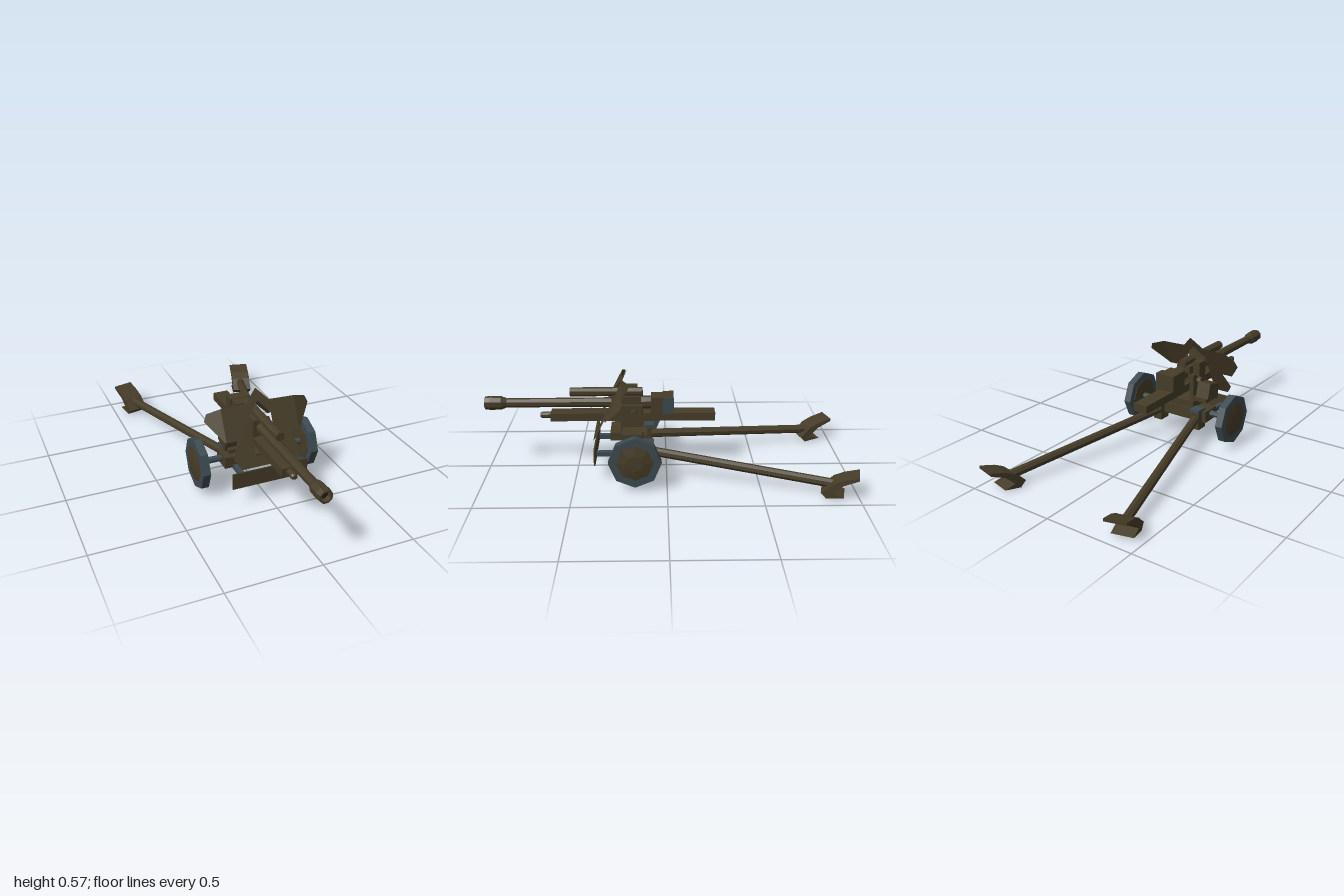
import * as THREE from 'three';

export function createModel() {
  const model = new THREE.Group();
  model.name = 'fieldGun';
  const mat = (name, color) => {
    const m = new THREE.MeshStandardMaterial({ color, flatShading: true, side: THREE.DoubleSide });
    m.name = name;
    return m;
  };
  const olive = mat('oliveBrown', 0x463c28);
  const steel = mat('blueSteel', 0x3c4a50);
  const dark = mat('boreDark', 0x1c1810);

  const add = (name, geo, m = olive, parent = model) => {
    const mesh = new THREE.Mesh(geo, m);
    mesh.name = name;
    parent.add(mesh);
    return mesh;
  };
  // Box given by its limits on each axis
  const box = (name, x0, x1, y0, y1, z0, z1, m, parent) => add(name,
    new THREE.BoxGeometry(x1 - x0, y1 - y0, z1 - z0)
      .translate((x0 + x1) / 2, (y0 + y1) / 2, (z0 + z1) / 2), m, parent);
  // Octagonal turned part along z from [radius, z] pairs, back to front
  const turned = (name, x, y, pts, m) => add(name,
    new THREE.LatheGeometry(pts.map(p => new THREE.Vector2(...p)), 8)
      .rotateY(Math.PI / 8).rotateX(Math.PI / 2).translate(x, y, 0), m);
  // Octagonal rod between two points
  const rod = (name, a, b, r, m, parent) => {
    const A = new THREE.Vector3(...a), B = new THREE.Vector3(...b);
    const mesh = add(name, new THREE.CylinderGeometry(r, r, A.distanceTo(B), 8), m, parent);
    mesh.position.copy(A).add(B).multiplyScalar(0.5);
    mesh.quaternion.setFromUnitVectors(new THREE.Vector3(0, 1, 0), B.sub(A).normalize());
    return mesh;
  };

  // Barrel, recoil gear and breech
  const cx = -0.008;
  turned('barrel', cx, 0.385, [[0, 0.03], [0.036, 0.03], [0.036, 0.2], [0.028, 0.22],
    [0.025, 0.88], [0.037, 0.91], [0.039, 0.97], [0.035, 1], [0.025, 1], [0.025, 0.97]]);
  add('bore', new THREE.CircleGeometry(0.025, 8).rotateZ(Math.PI / 8).translate(cx, 0.385, 0.972), dark);
  turned('recuperator', cx, 0.447, [[0, 0.13], [0.025, 0.13], [0.025, 0.53], [0, 0.53]]);
  box('cradle', -0.05, 0.035, 0.29, 0.334, -0.27, 0.64);
  turned('recoilCylinder', cx, 0.312, [[0, 0.6], [0.019, 0.6], [0.019, 0.685], [0.012, 0.7], [0, 0.7]]);
  box('breechRing', -0.055, 0.04, 0.334, 0.427, 0.0, 0.085);
  box('breechBlock', -0.064, 0.046, 0.338, 0.43, -0.04, 0.02);
  box('breechPlate', 0.046, 0.053, 0.338, 0.43, -0.04, 0.018, steel);
  box('barrelCollar', -0.05, 0.034, 0.334, 0.43, 0.14, 0.3);

  // Upper carriage: saddle, cheeks, aiming gear
  box('saddle', -0.09, 0.075, 0.19, 0.235, 0.12, 0.31);
  for (const [x0, x1] of [[-0.085, -0.058], [0.042, 0.069]])
    box('cheek', x0, x1, 0.22, 0.39, 0.13, 0.25);
  box('sightBox', -0.105, -0.06, 0.38, 0.46, 0.16, 0.22);
  rod('trunnion', [-0.11, 0.35, 0.18], [0.095, 0.35, 0.18], 0.02);
  const gearBox = box('aimingBox', -0.04, 0.04, -0.045, 0.045, -0.05, 0.05);
  gearBox.position.set(-0.142, 0.298, 0.19);
  gearBox.rotation.x = 0.25;
  box('sideStep', 0.06, 0.176, 0.24, 0.266, 0.13, 0.24);
  box('leftStep', -0.17, -0.06, 0.24, 0.262, 0.13, 0.26);

  // Lower carriage and front apron
  box('lowerCarriage', -0.18, 0.18, 0.13, 0.195, 0.11, 0.225);
  box('apron', -0.205, 0.225, 0.105, 0.195, 0.386, 0.394);
  for (const x of [-0.12, 0.12])
    box('apronBracket', x - 0.014, x + 0.014, 0.12, 0.145, 0.2, 0.388, steel);
  rod('axle', [-0.3, 0.17, 0.17], [0.3, 0.17, 0.17], 0.018, steel);

  // Shield: sloped sheet with an opening and swept-back wings
  const sheet = (name, pts, hole) => {
    const shape = new THREE.Shape(pts.map(p => new THREE.Vector2(...p)));
    if (hole) shape.holes.push(new THREE.Path(hole.map(p => new THREE.Vector2(...p))));
    const geo = new THREE.ShapeGeometry(shape);
    const pos = geo.attributes.position;
    for (let i = 0; i < pos.count; i++) {
      const x = pos.getX(i), y = pos.getY(i);
      pos.setXYZ(i, x - 0.005, y, 0.4 - (y - 0.215) * 0.514 - Math.max(0, Math.abs(x) - 0.207) * 0.4);
    }
    geo.computeVertexNormals();
    return add(name, geo);
  };
  const half = [[0.065, 0.512], [0.207, 0.508], [0.207, 0.35], [0.15, 0.35], [0.184, 0.268], [0.15, 0.216]];
  const flip = pts => pts.map(([x, y]) => [-x, y]).reverse();
  sheet('shield', [[0, 0.575], ...half, ...flip(half)],
    [[0, 0.515], [0.062, 0.45], [0.062, 0.268], [-0.062, 0.268], [-0.062, 0.45]]);
  const wing = [[0.207, 0.508], [0.28, 0.485], [0.296, 0.45], [0.212, 0.35], [0.207, 0.35]];
  sheet('shieldWing', wing);
  sheet('shieldWing', flip(wing));
  // Small hood behind the peak of the opening
  for (const s of [-1, 1]) {
    const hood = new THREE.BufferGeometry();
    hood.setAttribute('position', new THREE.Float32BufferAttribute([
      -0.005, 0.515, 0.246, -0.005 + s * 0.062, 0.45, 0.279,
      -0.005 + s * 0.062, 0.425, 0.24, -0.005, 0.482, 0.2], 3));
    hood.setIndex([0, 1, 2, 0, 2, 3]);
    hood.computeVertexNormals();
    add('shieldHood', hood);
  }

  // Ground spade side profile as [distance back, height]
  const spadeShape = new THREE.Shape([[-0.05, 0.035], [-0.015, 0.065], [0.01, 0.09], [0.06, 0.115],
    [0.14, 0.138], [0.14, 0.122], [0.06, 0.085], [0.01, 0.035], [0.07, 0.018], [-0.02, 0.004]]
    .map(p => new THREE.Vector2(...p)));

  for (const s of [-1, 1]) {
    const side = new THREE.Group();
    side.name = s > 0 ? 'leftSide' : 'rightSide';
    model.add(side);

    // Wheel with domed disc
    const wheel = new THREE.Group();
    wheel.name = 'wheel';
    wheel.position.set(s * 0.313, 0.17, 0.17);
    wheel.rotation.z = -s * Math.PI / 2;
    side.add(wheel);
    add('tyre', new THREE.CylinderGeometry(0.141, 0.141, 0.042, 8), steel, wheel);
    add('wheelDisc', new THREE.CylinderGeometry(0.045, 0.1, 0.009, 8).translate(0, 0.0255, 0), olive, wheel);
    add('innerDisc', new THREE.CylinderGeometry(0.1, 0.1, 0.006, 8).translate(0, -0.021, 0), olive, wheel);

    // Trail hinge and leg
    box('trailHinge', s * 0.128 - 0.027, s * 0.128 + 0.027, 0.09, 0.197, 0.08, 0.15, olive, side);
    box('hingeCap', s * 0.128 - 0.03, s * 0.128 + 0.03, 0.195, 0.21, 0.07, 0.14, steel, side);
    rod('trailLeg', [s * 0.122, 0.15, 0.1], [s * 0.372, 0.066, -0.87], 0.025, olive, side);

    // Spade at the end of the leg
    const spade = add('spade', new THREE.ExtrudeGeometry(spadeShape, { depth: 0.115, bevelEnabled: false })
      .translate(0, 0, -0.0575).rotateY(Math.PI / 2), olive, side);
    spade.position.set(s * 0.376, 0, -0.86);
    spade.rotation.y = -s * 0.25;
  }
  return model;
}
